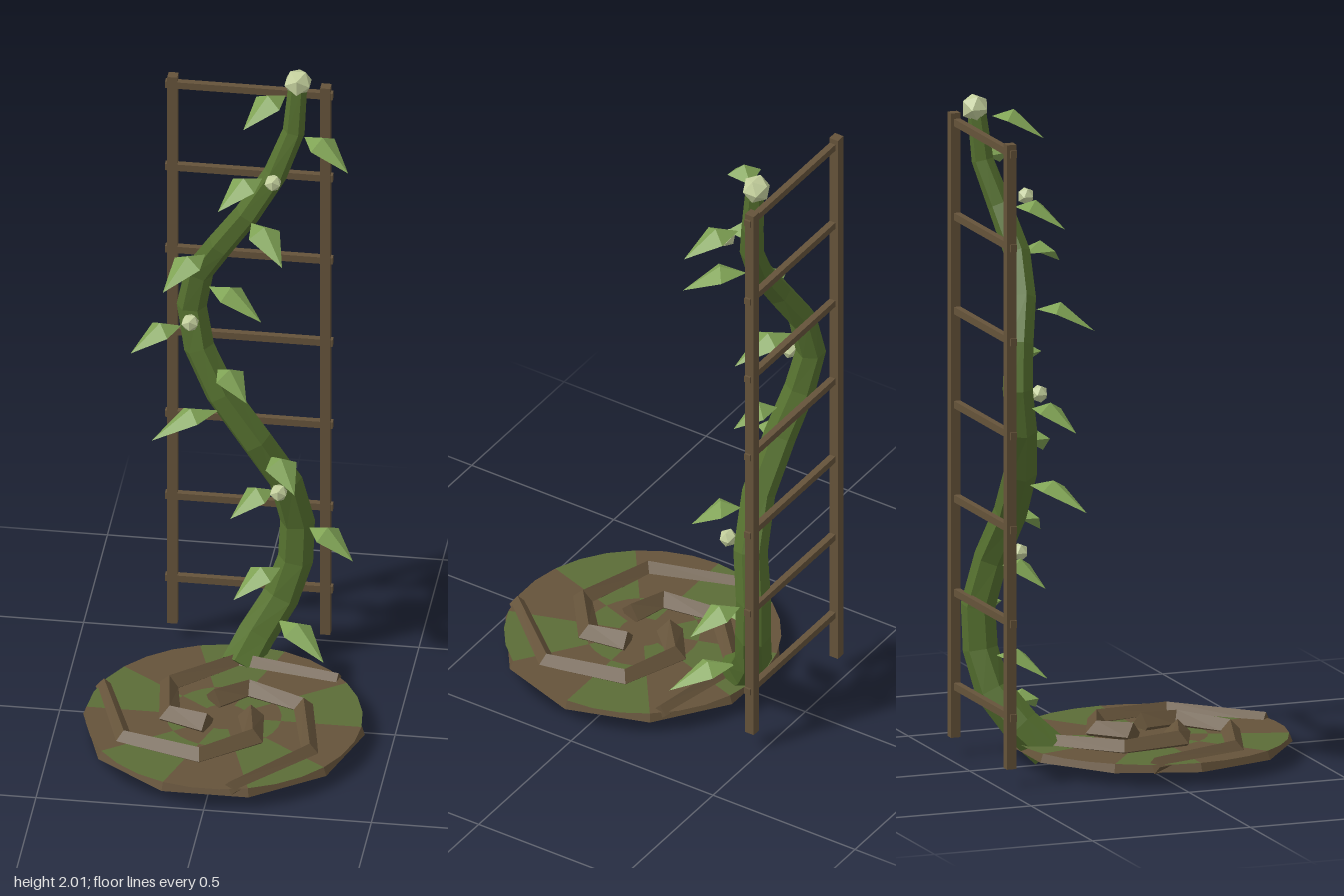
import * as THREE from 'three';

const mat = (name, color, side = THREE.FrontSide) =>
  Object.assign(new THREE.MeshStandardMaterial({ color, flatShading: true, side }), { name });

// Sweep a polygon of given radii along points; ref fixes the roll of the rings
function sweep(points, radii, sides, ref, phase = 0) {
  const pos = [], idx = [], n = points.length;
  points.forEach((p, i) => {
    const t = points[Math.min(i + 1, n - 1)].clone().sub(points[Math.max(i - 1, 0)]).normalize();
    const u = ref.clone().cross(t).normalize();
    const v = t.clone().cross(u);
    for (let k = 0; k < sides; k++) {
      const a = phase + (k / sides) * Math.PI * 2;
      const q = p.clone().addScaledVector(u, Math.cos(a) * radii[i]).addScaledVector(v, Math.sin(a) * radii[i]);
      pos.push(q.x, q.y, q.z);
    }
  });
  for (let i = 0; i < n - 1; i++) {
    for (let k = 0; k < sides; k++) {
      const a = i * sides + k, b = i * sides + (k + 1) % sides;
      idx.push(a, b, b + sides, a, b + sides, a + sides);
    }
  }
  const e = (n - 1) * sides;
  for (let k = 1; k < sides - 1; k++) idx.push(0, k + 1, k, e, e + k, e + k + 1);
  const g = new THREE.BufferGeometry();
  g.setAttribute('position', new THREE.Float32BufferAttribute(pos, 3));
  g.setIndex(idx);
  g.computeVertexNormals();
  return g;
}

// Folded kite leaf: base at the origin, tip along +z
function leafGeometry(len) {
  const m = len * 0.42, w = 0.052;
  const g = new THREE.BufferGeometry();
  g.setAttribute('position', new THREE.Float32BufferAttribute([
    0, 0, 0, w, 0, m, 0, 0.027, m, -w, 0, m, 0, -0.055, len], 3));
  g.setIndex([0, 2, 1, 0, 3, 2, 1, 2, 4, 2, 3, 4]);
  g.computeVertexNormals();
  return g;
}

export function createModel() {
  const model = new THREE.Group();
  model.name = 'climbingVine';
  const wood = mat('wood brown', 0x65533a);
  const moss = mat('moss green', 0x5b6c37);
  const stemGreen = mat('stem green', 0x55702f);
  const leafGreen = mat('leaf green', 0x80a355, THREE.DoubleSide);
  const budCream = mat('bud pale green', 0xc3cf9c);

  const add = (parent, name, geo, material, x = 0, y = 0, z = 0) => {
    const mesh = new THREE.Mesh(geo, material);
    mesh.name = name;
    mesh.position.set(x, y, z);
    parent.add(mesh);
    return mesh;
  };
  const group = (name) => {
    const g = new THREE.Group();
    g.name = name;
    model.add(g);
    return g;
  };

  // Ten-sided ground disc with alternating wood and moss wedges
  const ground = group('groundDisc');
  const cz = 0.073, step = Math.PI / 5;
  const rim = new THREE.CylinderGeometry(0.41, 0.42, 0.026, 10, 1, true);
  rim.rotateY(Math.PI / 2);
  add(ground, 'groundRim', rim, wood, 0, 0.038, cz);
  for (let i = 0; i < 10; i++) {
    const even = i % 2 === 0;
    const wedge = (r0, r1, material) => {
      const top = new THREE.RingGeometry(r0, r1, 1, 1, i * step, step);
      add(ground, 'groundTopWedge', top.rotateX(-Math.PI / 2), material, 0, 0.051, cz);
      const under = new THREE.RingGeometry(r0, r1 === 0.41 ? 0.42 : r1, 1, 1, i * step, step);
      add(ground, 'groundUnderWedge', under.rotateX(Math.PI / 2), material, 0, 0.025, cz);
    };
    wedge(0.17, 0.41, even ? moss : wood);
    wedge(0.07, 0.17, even ? wood : moss);
    wedge(0, 0.07, wood);
  }

  // Three roots spiralling in towards the centre
  const roots = group('roots');
  for (let r = 0; r < 3; r++) {
    const pts = [], radii = [];
    for (let i = 0; i < 5; i++) {
      const a = THREE.MathUtils.degToRad(199.6 - r * 120 - i * 50), d = 0.4 - i * 0.08;
      pts.push(new THREE.Vector3(Math.cos(a) * d, 0.046 + i * 0.004, cz + Math.sin(a) * d));
      radii.push(0.025 + i * 0.0035);
    }
    add(roots, 'spiralRoot', sweep(pts, radii, 4, new THREE.Vector3(0, 1, 0)), wood);
  }

  // Winding stem: x, y, z, radius
  const path = [
    [0.0, 0.03, -0.25, 0.058], [0.04, 0.1, -0.32, 0.057], [0.105, 0.2, -0.385, 0.055],
    [0.145, 0.32, -0.41, 0.053], [0.15, 0.45, -0.415, 0.052], [0.12, 0.6, -0.385, 0.051],
    [0.035, 0.75, -0.358, 0.05], [-0.07, 0.9, -0.365, 0.049], [-0.14, 1.04, -0.39, 0.047],
    [-0.165, 1.17, -0.412, 0.045], [-0.14, 1.3, -0.398, 0.043], [-0.07, 1.42, -0.36, 0.041],
    [0.01, 1.54, -0.345, 0.039], [0.09, 1.67, -0.37, 0.036], [0.14, 1.8, -0.405, 0.033],
    [0.15, 1.95, -0.42, 0.028]];
  const stemPts = path.map(([x, y, z]) => new THREE.Vector3(x, y, z));
  add(model, 'stem', sweep(stemPts, path.map((p) => p[3]), 6, new THREE.Vector3(0, 0, 1)), stemGreen);
  const stemAt = (y) => {
    let i = 0;
    while (i < path.length - 2 && path[i + 1][1] < y) i++;
    return stemPts[i].clone().lerp(stemPts[i + 1], (y - path[i][1]) / (path[i + 1][1] - path[i][1]));
  };

  // Leaves alternate up the stem: base height, tip x, tip z
  const leaves = group('leaves');
  [[0.15, 0.26, -0.19], [0.3, -0.02, -0.26], [0.435, 0.33, -0.31], [0.575, -0.03, -0.27],
    [0.71, 0.17, -0.21], [0.85, -0.26, -0.23], [0.985, 0.02, -0.26], [1.11, -0.33, -0.29],
    [1.25, 0.06, -0.29], [1.39, -0.22, -0.19], [1.525, 0.14, -0.16], [1.665, -0.06, -0.22],
    [1.795, 0.32, -0.28], [1.93, 0.01, -0.26]].forEach(([y, tx, tz]) => {
    const s = stemAt(y);
    const dx = tx - s.x, dz = tz - s.z, d = Math.hypot(dx, dz), off = 0.045;
    const leaf = add(leaves, 'leaf', leafGeometry(d - off), leafGreen,
      s.x + dx / d * off, y + 0.005, s.z + dz / d * off);
    leaf.rotation.y = Math.atan2(dx, dz);
  });

  // Faceted buds, the largest at the tip
  const buds = group('buds');
  [[0.15, 1.957, -0.425, 0.044], [0.095, 1.69, -0.285, 0.027],
    [-0.16, 1.15, -0.342, 0.028], [0.11, 0.61, -0.3, 0.028]].forEach(([x, y, z, r]) =>
    add(buds, 'bud', new THREE.IcosahedronGeometry(r, 0), budCream, x, y, z));

  // Ladder trellis behind the stem
  const trellis = group('trellis');
  for (const side of [-1, 1]) {
    add(trellis, 'trellisPost', new THREE.BoxGeometry(0.03, 1.89, 0.03), wood, side * 0.228, 0.985, -0.461);
  }
  for (let i = 0; i < 7; i++) {
    add(trellis, 'trellisRung', new THREE.BoxGeometry(0.5, 0.022, 0.02), wood, 0, 0.195 + i * 0.2845, -0.457);
  }
  return model;
}
